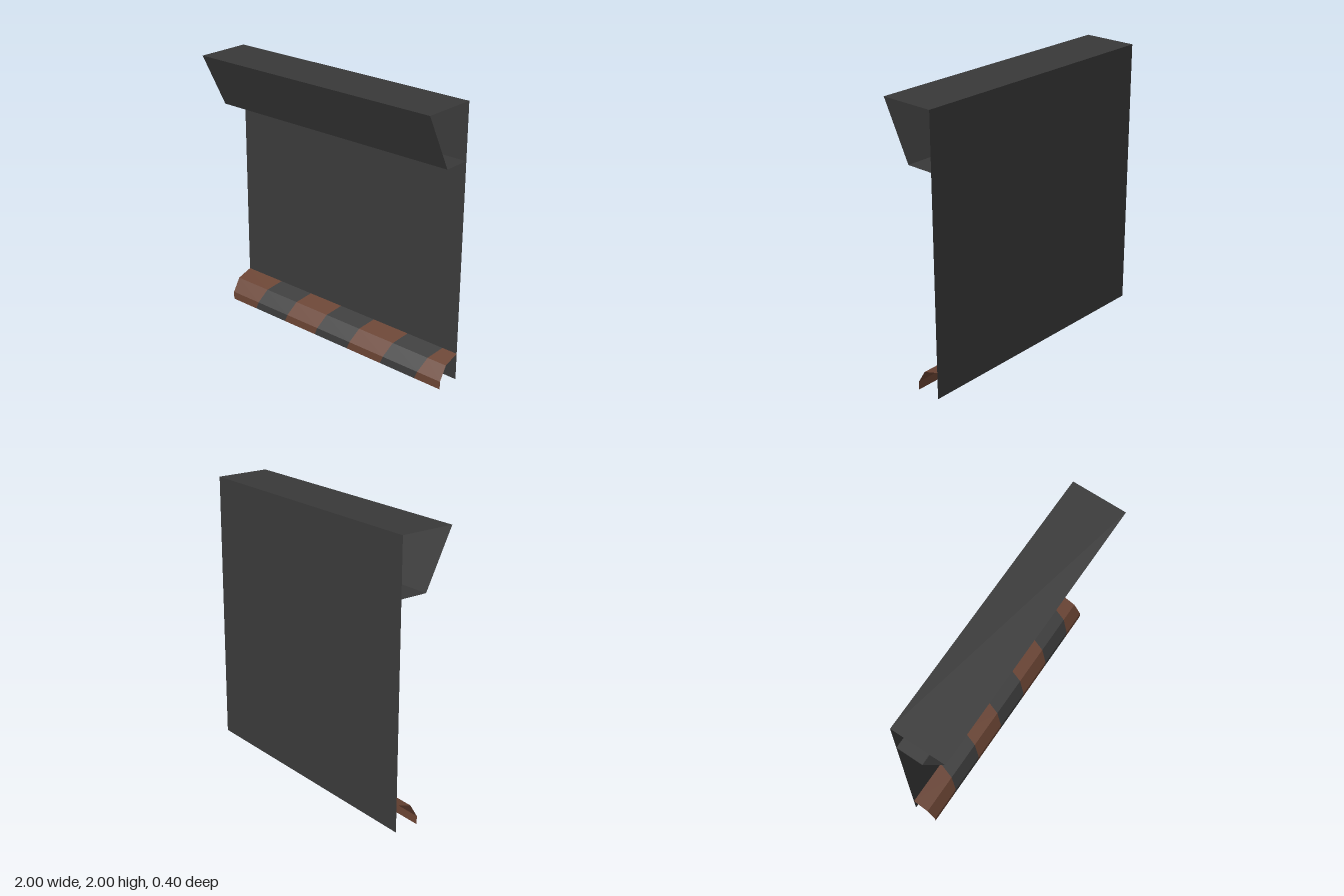
import * as THREE from 'three';

const sheetMaterial = (name, color) => {
  const m = new THREE.MeshStandardMaterial({ color, side: THREE.DoubleSide });
  m.name = name;
  return m;
};

// Folded sheet: a [y, z] profile swept between a left and a right edge in x
function foldedSheet(name, profile, material, left = () => -1, right = () => 1) {
  const positions = [];
  for (let i = 0; i < profile.length - 1; i++) {
    const corner = (edge, k) => [edge(k), profile[k][0], profile[k][1]];
    const a = corner(left, i), b = corner(left, i + 1);
    const c = corner(right, i + 1), d = corner(right, i);
    positions.push(...a, ...b, ...c, ...a, ...c, ...d);
  }
  const geometry = new THREE.BufferGeometry();
  geometry.setAttribute('position', new THREE.Float32BufferAttribute(positions, 3));
  geometry.computeVertexNormals();
  const mesh = new THREE.Mesh(geometry, material);
  mesh.name = name;
  return mesh;
}

export function createModel() {
  const model = new THREE.Group();
  model.name = 'wallPanel';

  const wallGrey = sheetMaterial('wall grey', 0x393939);
  const stripeGrey = sheetMaterial('stripe grey', 0x3c3c3c);
  const rustBrown = sheetMaterial('rust brown', 0x694333);

  // Upright back wall, with a fold line where the skirting meets it
  model.add(foldedSheet('backWall', [[2, -0.2], [0.2, -0.2], [0, -0.2]], wallGrey));

  // Overhanging duct, open at both ends: top, slanted front, underside
  model.add(foldedSheet('overheadDuct', [[2, -0.2], [2, 0.2], [1.6, 0], [1.6, -0.2]], wallGrey));

  // Skirting with slanted hazard stripes
  const skirting = new THREE.Group();
  skirting.name = 'skirting';
  const profile = [[0.2, -0.2], [0.16, -0.08], [0.06, -0.02], [0, -0.02]];
  const slant = [0.1, 0.065, 0.025, 0];
  const edges = [-3, -0.755, -0.45, -0.147, 0.165, 0.475, 0.78, 3];
  for (let s = 0; s < edges.length - 1; s++) {
    const edgeAt = (x) => (k) => THREE.MathUtils.clamp(x + slant[k], -1, 1);
    const brown = s % 2 === 0;
    skirting.add(foldedSheet(brown ? 'brownStripe' : 'greyStripe', profile,
      brown ? rustBrown : stripeGrey, edgeAt(edges[s]), edgeAt(edges[s + 1])));
  }
  model.add(skirting);

  return model;
}
